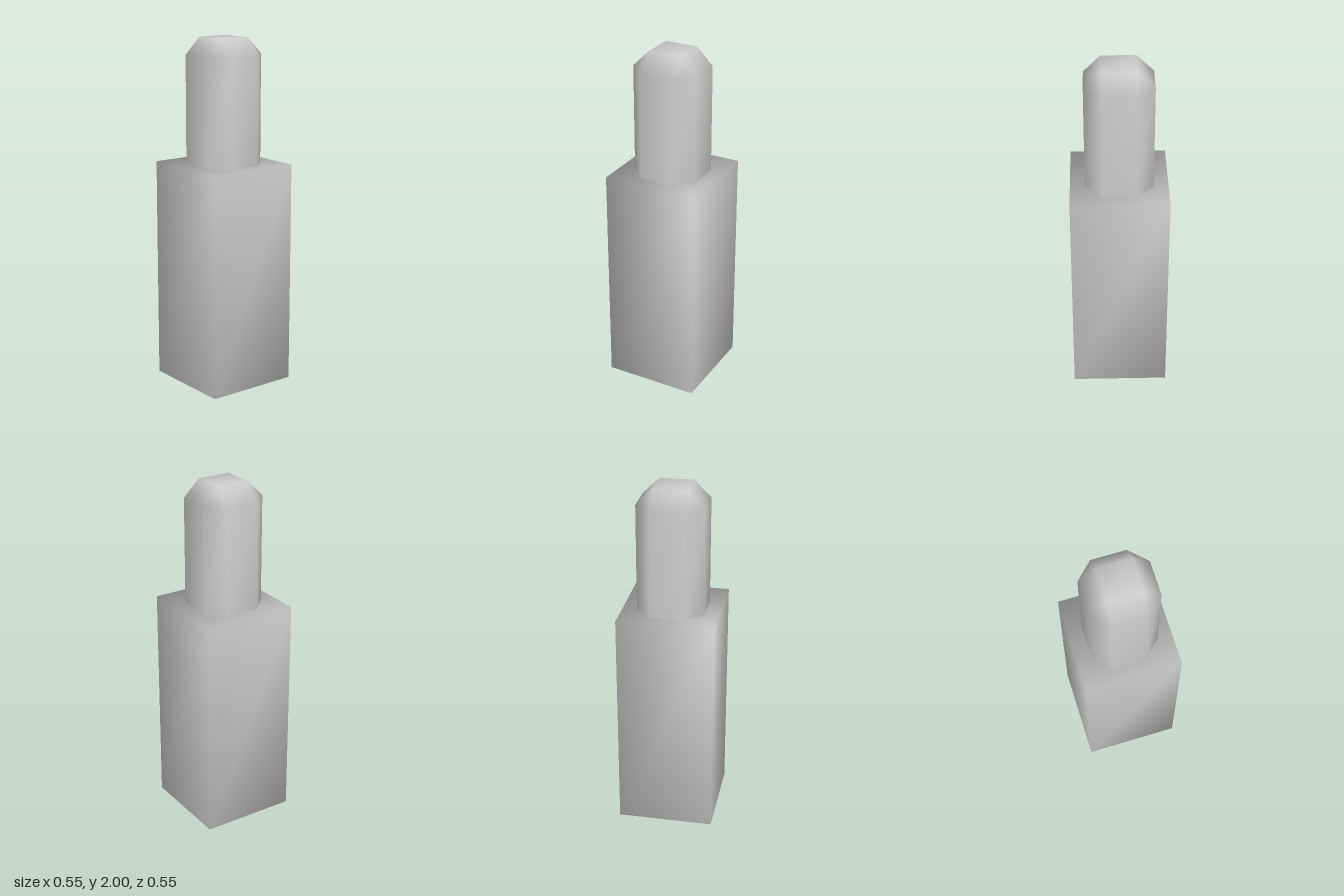
import * as THREE from 'three';
import { mergeVertices } from 'three/addons/utils/BufferGeometryUtils.js';

const BASE_HALF = 0.275, BASE_TOP = 1.285;
const POST_HALF = 0.192, POST_FLAT = 0.0965; // half width, half width of each flat
const SHOULDER = 1.905, TOP = 2;

// Weld all corners so shading runs smoothly over the edges
function weld(geometry) {
  geometry.deleteAttribute('normal');
  geometry.deleteAttribute('uv');
  const welded = mergeVertices(geometry, 1e-4);
  welded.computeVertexNormals();
  return welded;
}

// Eight-sided post whose top tapers to a flat square
function postGeometry() {
  const a = POST_HALF, b = POST_FLAT;
  const outline = [[a, b], [b, a], [-b, a], [-a, b], [-a, -b], [-b, -a], [b, -a], [a, -b]];
  const positions = [], index = [];
  for (const [y, limit] of [[BASE_TOP - 0.005, a], [SHOULDER, a], [TOP, b]]) {
    for (const [x, z] of outline) {
      positions.push(THREE.MathUtils.clamp(x, -limit, limit), y, THREE.MathUtils.clamp(z, -limit, limit));
    }
  }
  for (let i = 0; i < 8; i++) {
    const j = (i + 1) % 8;
    // shaft
    index.push(i, 8 + i, j, j, 8 + i, 8 + j);
    // bevel: triangles at the corners, quads along the flats
    index.push(8 + i, 16 + i, 8 + j);
    if (i % 2) index.push(8 + j, 16 + i, 16 + j);
  }
  // square top
  index.push(16, 22, 18, 18, 22, 20);
  const geometry = new THREE.BufferGeometry();
  geometry.setAttribute('position', new THREE.Float32BufferAttribute(positions, 3));
  geometry.setIndex(index);
  return weld(geometry);
}

export function createModel() {
  const group = new THREE.Group();
  group.name = 'postOnBlock';
  const material = new THREE.MeshStandardMaterial({ color: 0xcccccc });

  // Square block standing on the ground
  const block = new THREE.Mesh(weld(new THREE.BoxGeometry(BASE_HALF * 2, BASE_TOP, BASE_HALF * 2)), material);
  block.name = 'block';
  block.position.y = BASE_TOP / 2;

  // Bevelled post on top of the block
  const post = new THREE.Mesh(postGeometry(), material);
  post.name = 'post';

  group.add(block, post);
  return group;
}
